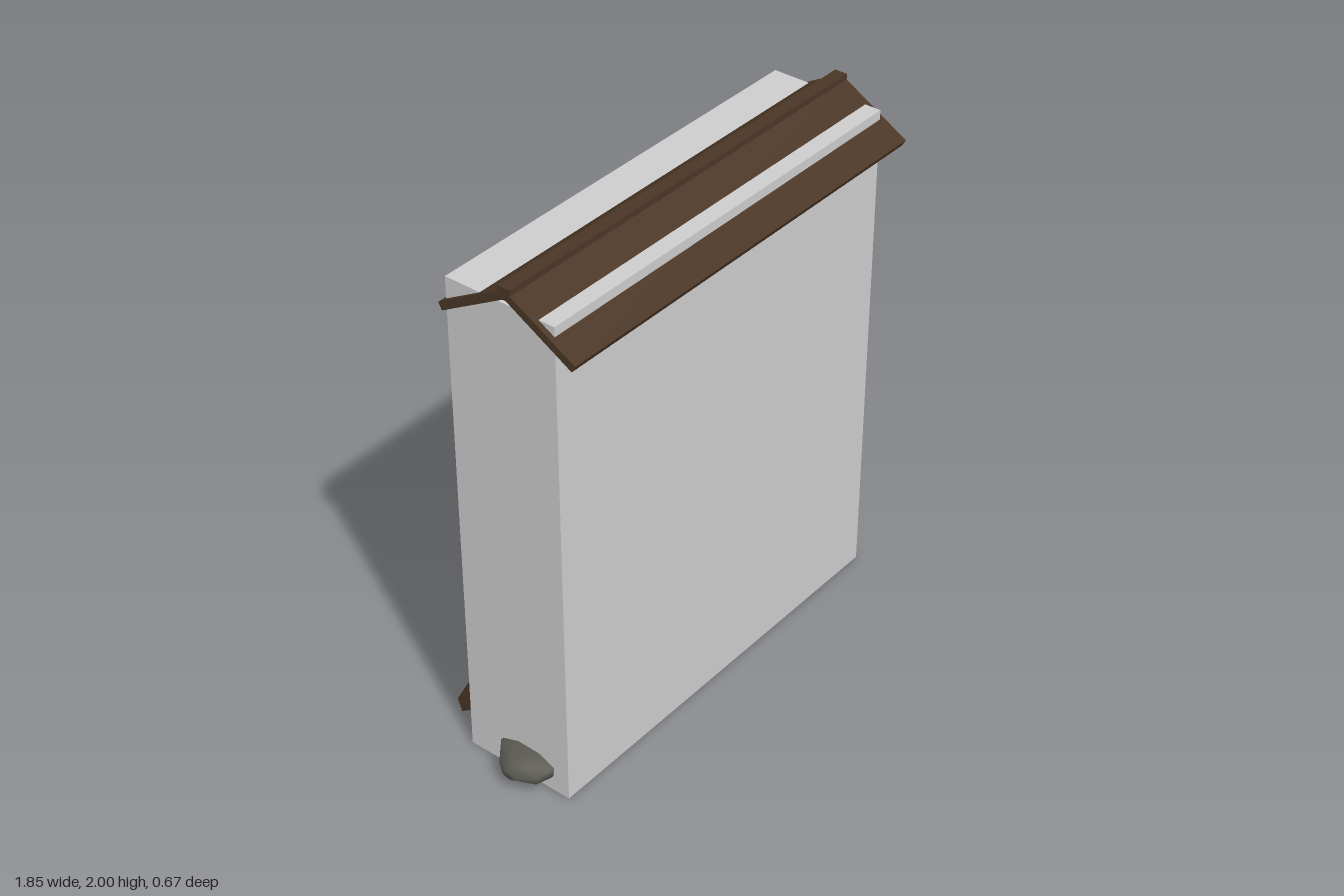
import * as THREE from 'three';
import { ConvexGeometry } from 'three/addons/geometries/ConvexGeometry.js';
import { mergeVertices } from 'three/addons/utils/BufferGeometryUtils.js';

const plaster = new THREE.MeshStandardMaterial({ color: 0xcccccc });
plaster.name = 'pale grey wall';
const timber = new THREE.MeshStandardMaterial({ color: 0x4a3626 });
timber.name = 'dark brown timber';
const rock = new THREE.MeshStandardMaterial({ color: 0x5a5a52 });
rock.name = 'dark grey stone';

function box(name, w, h, d, material, x, y, z) {
  const mesh = new THREE.Mesh(new THREE.BoxGeometry(w, h, d), material);
  mesh.name = name;
  mesh.position.set(x, y, z);
  return mesh;
}

// Hull around elliptical rings [x, centre y, centre z, radius y, radius z], shaded smoothly
function stone(name, rings, turn) {
  const points = [];
  for (const [x, y, z, ry, rz] of rings) {
    for (let i = 0; i < 8; i++) {
      const a = turn + (i / 8) * Math.PI * 2;
      points.push(new THREE.Vector3(x, y + Math.sin(a) * ry, z + Math.cos(a) * rz));
    }
  }
  let geometry = new ConvexGeometry(points);
  geometry.deleteAttribute('normal');
  geometry = mergeVertices(geometry, 1e-4);
  geometry.computeVertexNormals();
  const mesh = new THREE.Mesh(geometry, rock);
  mesh.name = name;
  return mesh;
}

export function createModel() {
  const model = new THREE.Group();
  model.name = 'roofedWall';

  // Wall slab
  model.add(box('wall', 1.66, 1.925, 0.44, plaster, 0, 0.9625, 0.02));

  // Pitched roof boards and ridge beam; the wall's top edges show through the boards
  const ridgeZ = 0.06;
  const pitch = 0.52;
  for (const side of [1, -1]) {
    const board = box(side > 0 ? 'frontRoofBoard' : 'backRoofBoard', 1.7, 0.029, 0.309,
      timber, 0, 1.899, ridgeZ + side * 0.134);
    board.rotation.x = side * pitch;
    model.add(board);
  }
  model.add(box('ridgeBeam', 1.7, 0.045, 0.048, timber, 0, 1.9775, ridgeZ));

  // Slanted braces against the back
  const tilt = 0.49;
  const length = 0.4;
  for (const [name, x] of [['rightBrace', -0.745], ['leftBrace', 0.735]]) {
    const brace = box(name, 0.051, length, 0.051, timber, x,
      0.06 + Math.cos(tilt) * length / 2, -0.303 + Math.sin(tilt) * length / 2);
    brace.rotation.set(tilt, -0.45, 0);
    model.add(brace);
  }

  // Foundation stones bulging from both ends
  model.add(stone('leftStone', [
    [0.76, 0.087, 0.055, 0.055, 0.14],
    [0.84, 0.086, 0.055, 0.06, 0.15],
    [0.902, 0.083, 0.05, 0.042, 0.115],
    [0.92, 0.1, 0.05, 0.02, 0.05],
  ], 0.2));
  model.add(stone('rightStone', [
    [-0.76, 0.087, 0.06, 0.048, 0.12],
    [-0.84, 0.086, 0.06, 0.05, 0.125],
    [-0.9, 0.083, 0.075, 0.038, 0.09],
    [-0.925, 0.065, 0.055, 0.015, 0.03],
  ], 0.35));

  return model;
}
